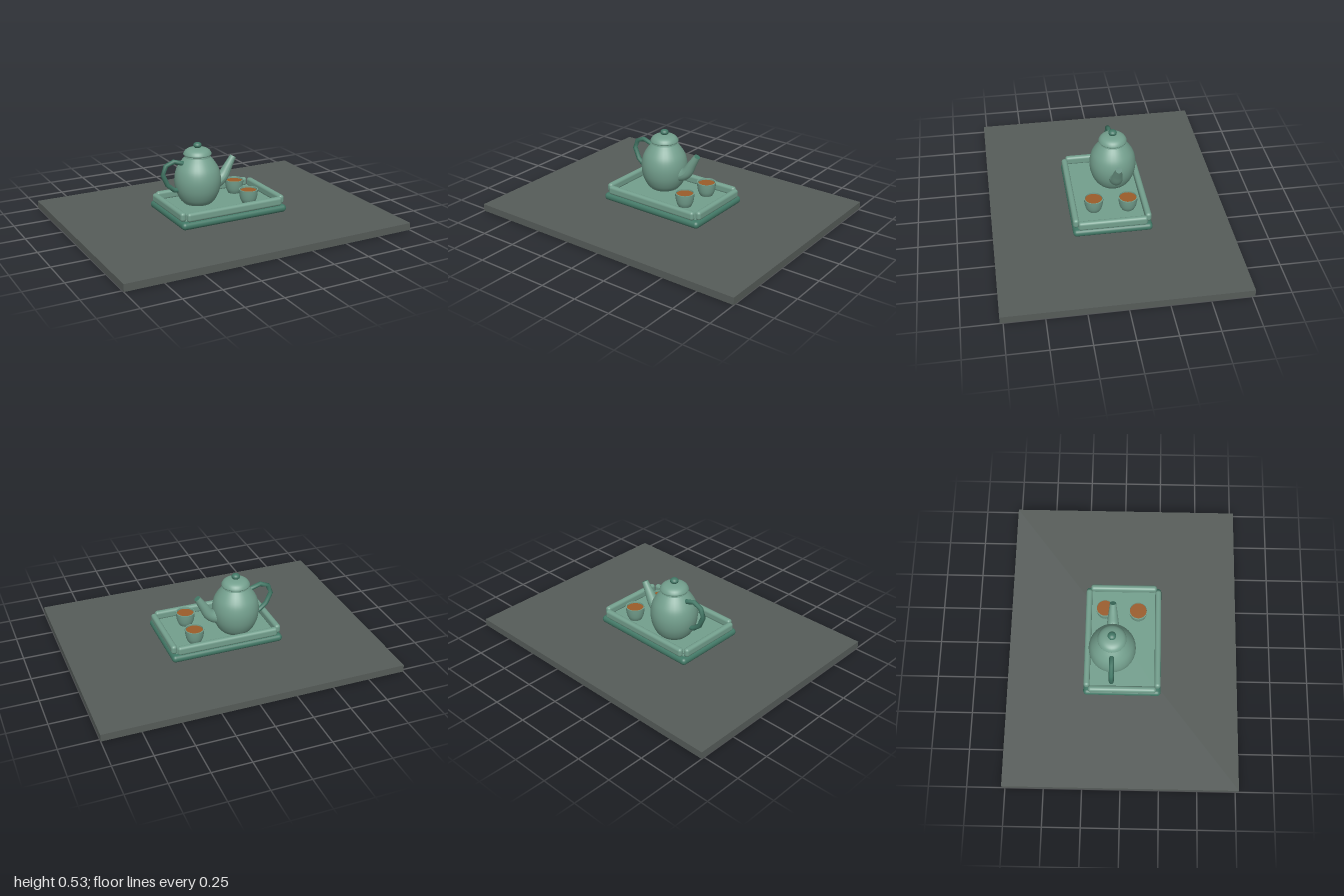
import * as THREE from 'three';
import { RoundedBoxGeometry } from 'three/addons/geometries/RoundedBoxGeometry.js';

export function createModel() {
  const root = new THREE.Group();
  const mat = (name, color, side = THREE.FrontSide) => {
    const m = new THREE.MeshStandardMaterial({ color, side });
    m.name = name;
    return m;
  };
  const celadon = mat('celadon', 0x739f8d, THREE.DoubleSide);
  const jade = mat('dark jade', 0x427866);
  const slate = mat('slate', 0x565c59);
  const tea = mat('tea', 0x9a5c2a);

  const add = (parent, name, geo, material, x = 0, y = 0, z = 0) => {
    const m = new THREE.Mesh(geo, material);
    m.name = name;
    m.position.set(x, y, z);
    parent.add(m);
    return m;
  };
  const group = (name, x = 0, y = 0, z = 0) => {
    const g = new THREE.Group();
    g.name = name;
    g.position.set(x, y, z);
    root.add(g);
    return g;
  };
  // Smooth turned shape through a few [radius, height] points
  const turned = (pts, steps, segs = 32) => {
    const curve = new THREE.SplineCurve(pts.map(p => new THREE.Vector2(...p)));
    return new THREE.LatheGeometry(curve.getPoints(steps), segs);
  };

  // Table slab
  add(root, 'tableTop', new THREE.BoxGeometry(2, 0.048, 1.54), slate, 0, 0.024, 0);

  // Tray: rounded base, inset floor and four rails
  const tray = group('tray');
  add(tray, 'trayBase', new RoundedBoxGeometry(0.766, 0.05, 0.516, 4, 0.0245), jade, 0, 0.088, 0);
  add(tray, 'trayFloor', new THREE.BoxGeometry(0.7, 0.012, 0.45), celadon, 0, 0.113, 0);
  for (const s of [-1, 1]) {
    add(tray, 'longRail', new RoundedBoxGeometry(0.69, 0.06, 0.04, 4, 0.018), celadon, 0, 0.142, s * 0.235);
    add(tray, 'shortRail', new RoundedBoxGeometry(0.04, 0.06, 0.45, 4, 0.018), celadon, s * 0.36, 0.142, 0);
  }

  // Teapot body, lid and knob
  const pot = group('teapot', -0.117, 0, -0.068);
  add(pot, 'body', turned([[0.095, 0.119], [0.122, 0.15], [0.147, 0.21], [0.155, 0.28],
    [0.143, 0.345], [0.115, 0.395], [0.084, 0.432]], 24), celadon);
  add(pot, 'neck', new THREE.CylinderGeometry(0.078, 0.084, 0.02, 32), celadon, 0, 0.438, 0);
  add(pot, 'bodyBase', new THREE.CylinderGeometry(0.095, 0.095, 0.004, 32), celadon, 0, 0.12, 0);
  add(pot, 'lid', turned([[0.078, 0.442], [0.092, 0.448], [0.092, 0.458], [0.078, 0.477],
    [0.05, 0.49], [0.0001, 0.497]], 20), celadon);
  add(pot, 'knobStem', new THREE.CylinderGeometry(0.016, 0.02, 0.02, 16), jade, 0, 0.495, 0);
  add(pot, 'knob', new THREE.SphereGeometry(0.028, 18, 12), jade, 0, 0.51, 0).scale.y = 0.72;

  // Handle: faceted loop behind the body
  const loop = new THREE.CurvePath();
  const stops = [[-0.07, 0.385], [-0.105, 0.398], [-0.172, 0.42], [-0.228, 0.4], [-0.252, 0.342],
    [-0.22, 0.267], [-0.172, 0.226], [-0.11, 0.215]].map(p => new THREE.Vector3(p[0], p[1], 0));
  const path = new THREE.CatmullRomCurve3(stops);
  path.getPointAt = t => path.getPoint(t); // keep the facets at the chosen stops
  add(pot, 'handle', new THREE.TubeGeometry(path, stops.length - 1, 0.016, 10), jade);

  // Spout: tube tapered ring by ring toward the tip
  const spoutPath = new THREE.CatmullRomCurve3([[0.12, 0.235], [0.155, 0.245], [0.187, 0.268],
    [0.225, 0.33], [0.267, 0.398]].map(p => new THREE.Vector3(p[0], p[1], 0)));
  const rings = 14, sides = 18;
  const spout = new THREE.TubeGeometry(spoutPath, rings, 1, sides);
  const pos = spout.attributes.position, v = new THREE.Vector3();
  for (let i = 0; i < pos.count; i++) {
    const t = Math.floor(i / (sides + 1)) / rings;
    const c = spoutPath.getPointAt(t);
    v.fromBufferAttribute(pos, i).sub(c).multiplyScalar(0.047 - 0.026 * t).add(c);
    pos.setXYZ(i, v.x, v.y, v.z);
  }
  spout.computeVertexNormals();
  add(pot, 'spout', spout, celadon);
  const tip = add(pot, 'spoutOpening', new THREE.CircleGeometry(0.021, sides), jade);
  tip.position.copy(spoutPath.getPointAt(1));
  tip.quaternion.setFromUnitVectors(new THREE.Vector3(0, 0, 1), spoutPath.getTangentAt(1));

  // Two tea cups with a thin rim
  for (const [x, z] of [[0.19, -0.123], [0.175, 0.1]]) {
    const cup = group('cup', x, 0.119, z);
    add(cup, 'cupWall', turned([[0.042, 0], [0.054, 0.025], [0.061, 0.06], [0.064, 0.092]], 10, 28), celadon);
    add(cup, 'cupLining', turned([[0.057, 0.092], [0.055, 0.07]], 2, 28), celadon);
    add(cup, 'cupRim', new THREE.RingGeometry(0.057, 0.064, 28), celadon, 0, 0.092, 0).rotation.x = -Math.PI / 2;
    add(cup, 'teaSurface', new THREE.CircleGeometry(0.056, 28), tea, 0, 0.082, 0).rotation.x = -Math.PI / 2;
  }
  return root;
}
